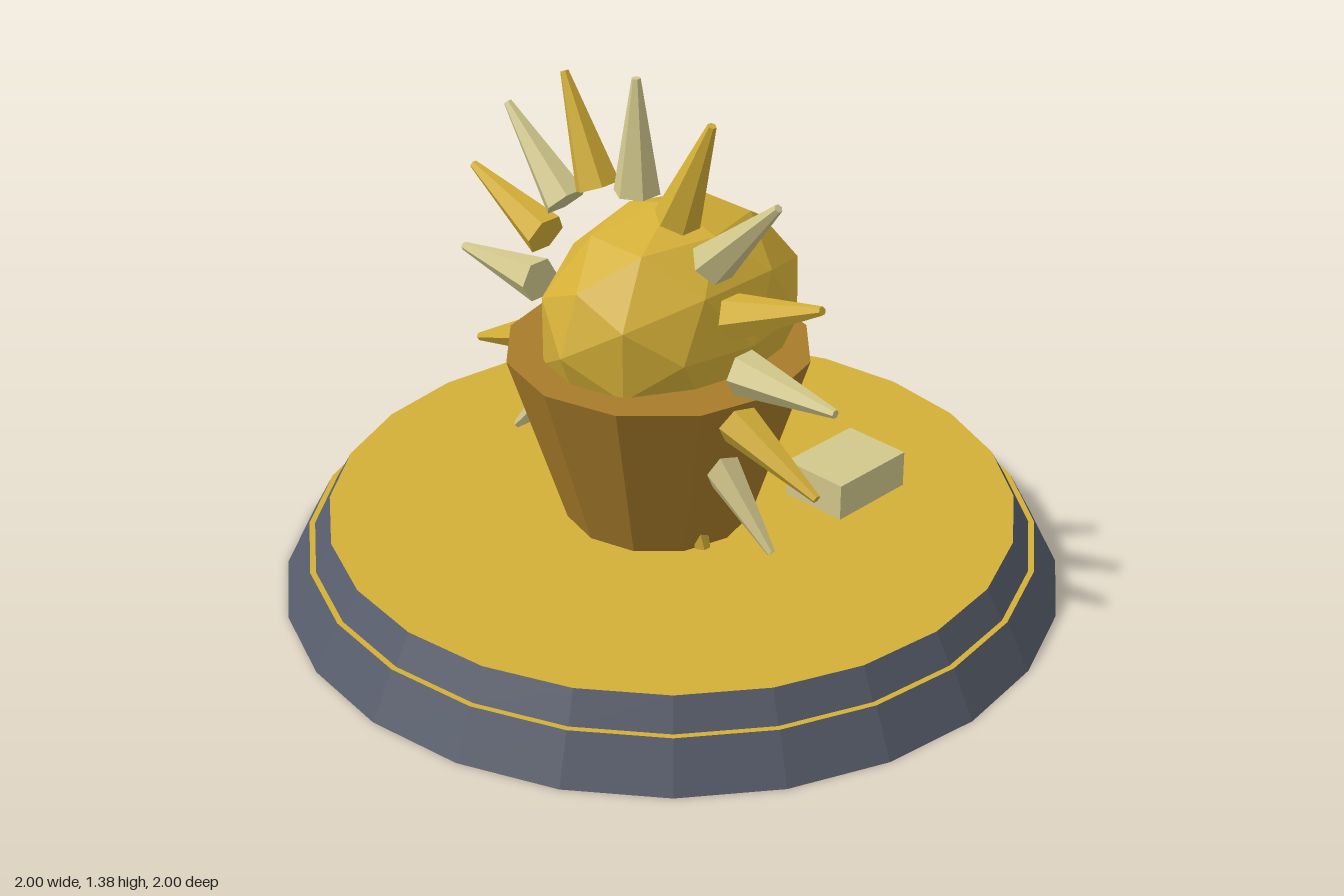
import * as THREE from 'three';

export function createModel() {
  const model = new THREE.Group();
  const paint = (name, color) => {
    const m = new THREE.MeshStandardMaterial({ color, flatShading: true });
    m.name = name;
    return m;
  };
  const gold = paint('gold', 0xd4af37);
  const pale = paint('pale gold', 0xd2c88c);
  const bronze = paint('bronze', 0xa87c2a);
  const slate = paint('slate', 0x565c6a);

  const add = (name, geometry, material, x = 0, y = 0, z = 0) => {
    const mesh = new THREE.Mesh(geometry, material);
    mesh.name = name;
    mesh.position.set(x, y, z);
    model.add(mesh);
    return mesh;
  };

  // Two-tier plinth: each tier has slate sides and a gold top
  const tier = [slate, gold, slate];
  add('plinthLower', new THREE.CylinderGeometry(0.937, 1, 0.12, 24), tier, 0, 0.06, 0);
  add('plinthUpper', new THREE.CylinderGeometry(0.88, 0.924, 0.08, 24), tier, 0, 0.157, 0);

  // Tapered twelve-sided pot
  add('pot', new THREE.CylinderGeometry(0.385, 0.24, 0.46, 12), bronze, 0, 0.427, 0.047);

  // Faceted ball, stretched front to back
  const ball = add('ball', new THREE.IcosahedronGeometry(1, 1), gold, 0, 0.735, 0);
  ball.scale.set(0.28, 0.29, 0.378);

  // Ring of sixteen alternating spikes
  const spike = new THREE.CylinderGeometry(0.011, 0.058, 0.29, 6);
  for (let i = 0; i < 16; i++) {
    const a = (i * Math.PI) / 8;
    const mesh = add('spike', spike, i % 2 ? gold : pale,
      Math.cos(a) * 0.5, 0.735 + Math.sin(a) * 0.5, 0.118);
    mesh.rotation.z = a - Math.PI / 2;
  }

  // Blocks behind the pot
  for (const [side, name] of [[1, 'leftBlock'], [-1, 'rightBlock']]) {
    add(name, new THREE.BoxGeometry(0.185, 0.11, 0.246), pale, side * 0.291, 0.239, -0.341);
  }

  return model;
}
